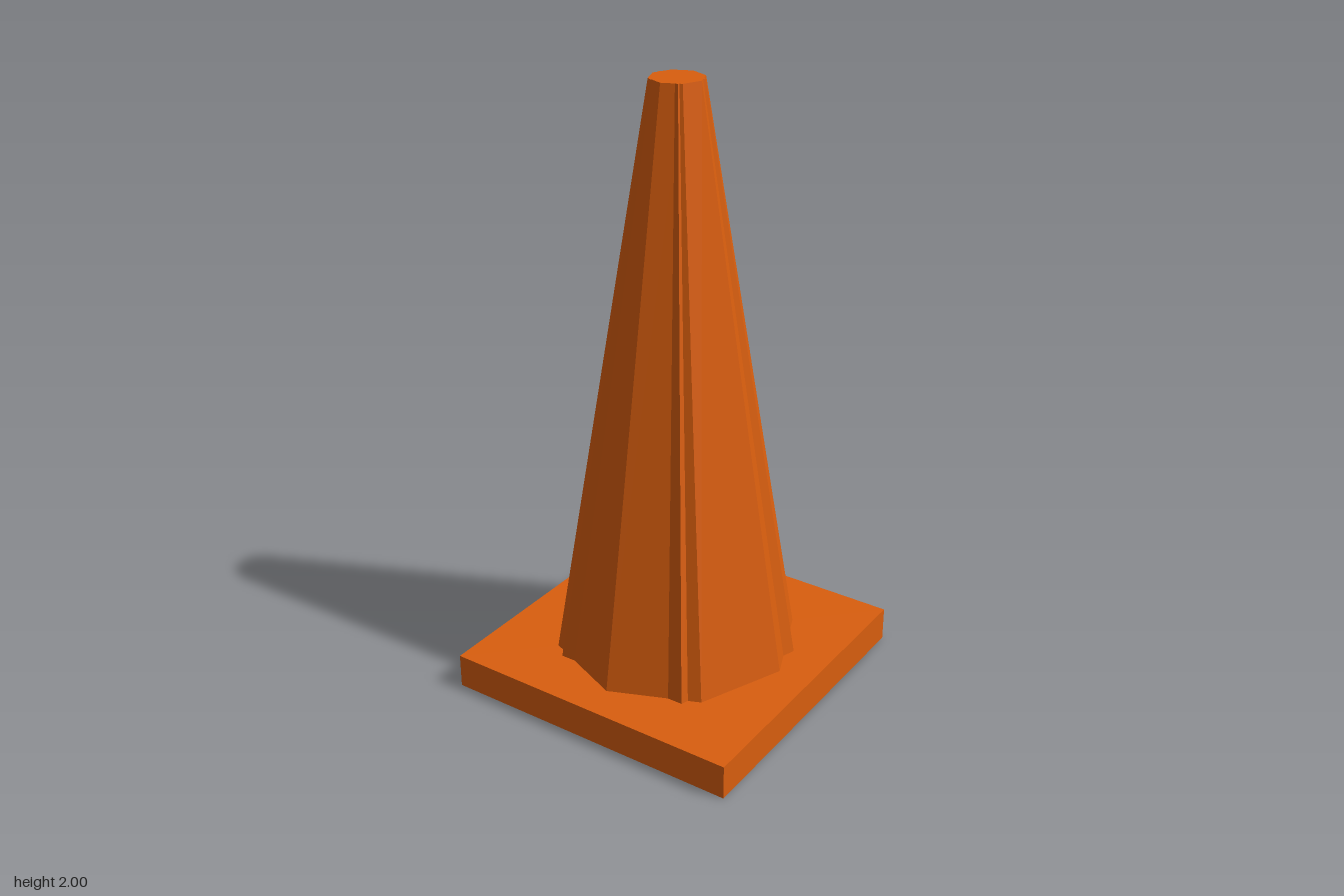
import * as THREE from 'three';

const BASE_WIDTH = 1.025;
const BASE_HEIGHT = 0.115;
const TOTAL_HEIGHT = 2;

export function createModel() {
  const group = new THREE.Group();
  group.name = 'trafficCone';

  const orange = new THREE.MeshStandardMaterial({ color: 0xd95e0e, flatShading: true });
  orange.name = 'orange';

  // Square foot slab
  const base = new THREE.Mesh(new THREE.BoxGeometry(BASE_WIDTH, BASE_HEIGHT, BASE_WIDTH), orange);
  base.name = 'base';
  base.position.y = BASE_HEIGHT / 2;
  group.add(base);

  // Tapered body: an eight-sided and a five-sided shell interpenetrate, leaving thin ridges
  const height = TOTAL_HEIGHT - BASE_HEIGHT;
  const addShell = (name, sides, turn) => {
    const shell = new THREE.Mesh(new THREE.CylinderGeometry(0.085, 0.4, height, sides), orange);
    shell.name = name;
    shell.position.y = BASE_HEIGHT + height / 2;
    shell.rotation.y = turn;
    group.add(shell);
  };
  addShell('coneBody', 8, 0);
  addShell('coneRidges', 5, Math.PI); // one corner points to the back

  return group;
}
